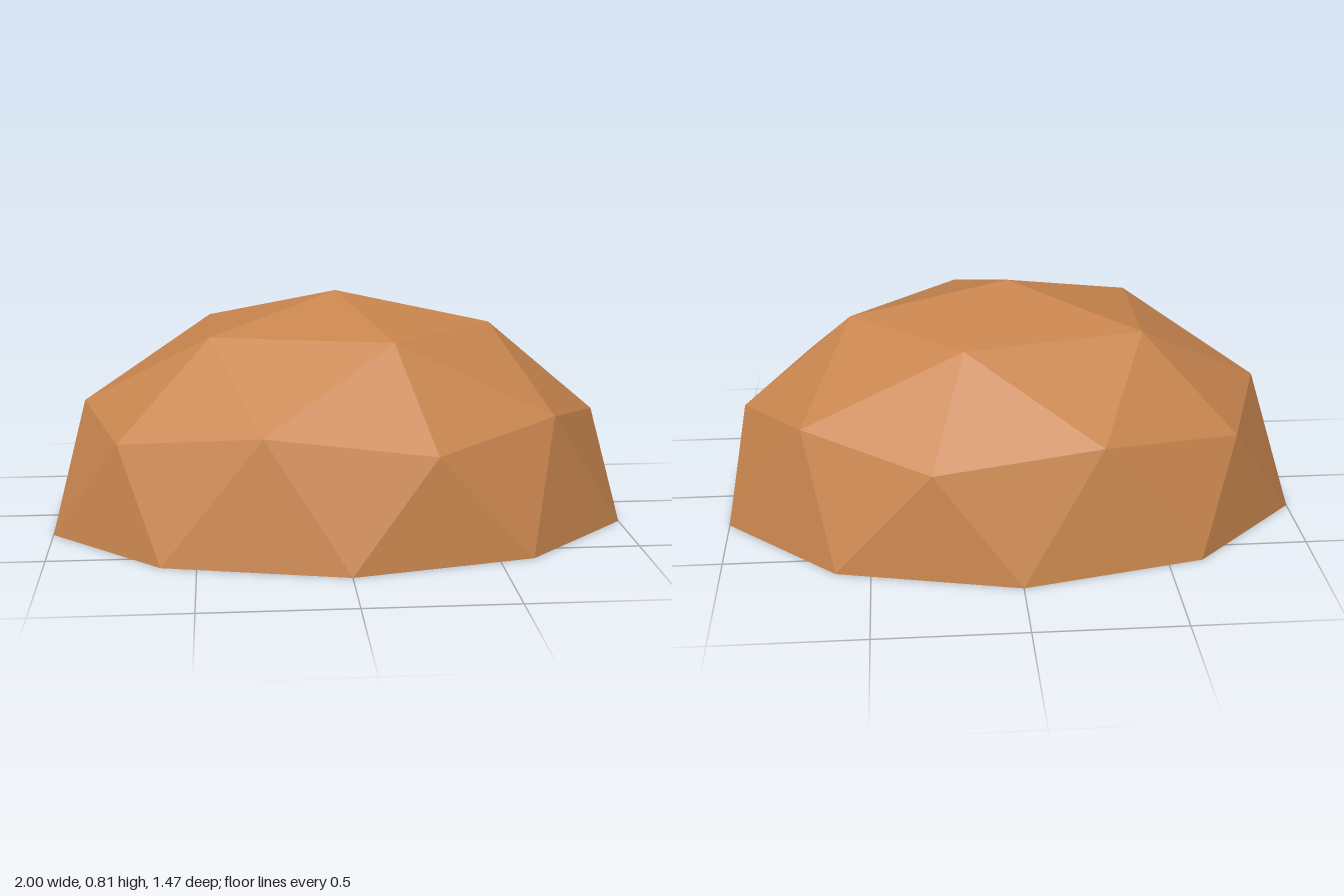
import * as THREE from 'three';

// Stretch of the unit dome along x, y and z
const SCALE = new THREE.Vector3(1.0515, 0.812, 0.735);

// Point on the unit sphere, by height and angle round the dome
function domePoint(y, degrees) {
  const a = THREE.MathUtils.degToRad(degrees);
  const r = Math.sqrt(Math.max(0, 1 - y * y));
  return new THREE.Vector3(r * Math.cos(a), y, r * Math.sin(a)).multiply(SCALE);
}

// Upper half of a once-subdivided icosahedron, open underneath
function domeGeometry() {
  const top = domePoint(1, 0);
  const crown = (k) => domePoint(0.8507, 72 * k);
  const corner = (k) => domePoint(0.4472, 72 * k);
  const middle = (k) => domePoint(0.5257, 72 * k + 36);
  const rim = (k) => domePoint(0, 36 * k + 18);

  const points = [];
  for (let k = 0; k < 5; k++) {
    points.push(
      // upper facets
      top, crown(k + 1), crown(k),
      crown(k), middle(k), corner(k),
      crown(k + 1), corner(k + 1), middle(k),
      crown(k), crown(k + 1), middle(k),
      // lower facets down to the rim
      corner(k), middle(k), rim(2 * k),
      middle(k), corner(k + 1), rim(2 * k + 1),
      middle(k), rim(2 * k + 1), rim(2 * k),
      corner(k), rim(2 * k), rim(2 * k - 1),
    );
  }
  const geometry = new THREE.BufferGeometry().setFromPoints(points);
  geometry.computeVertexNormals();
  return geometry;
}

export function createModel() {
  const group = new THREE.Group();
  group.name = 'facetedDome';

  const brown = new THREE.MeshStandardMaterial({
    color: 0xc8854e, flatShading: true, side: THREE.DoubleSide,
  });
  brown.name = 'warm brown';

  const shell = new THREE.Mesh(domeGeometry(), brown);
  shell.name = 'domeShell';
  group.add(shell);
  return group;
}
